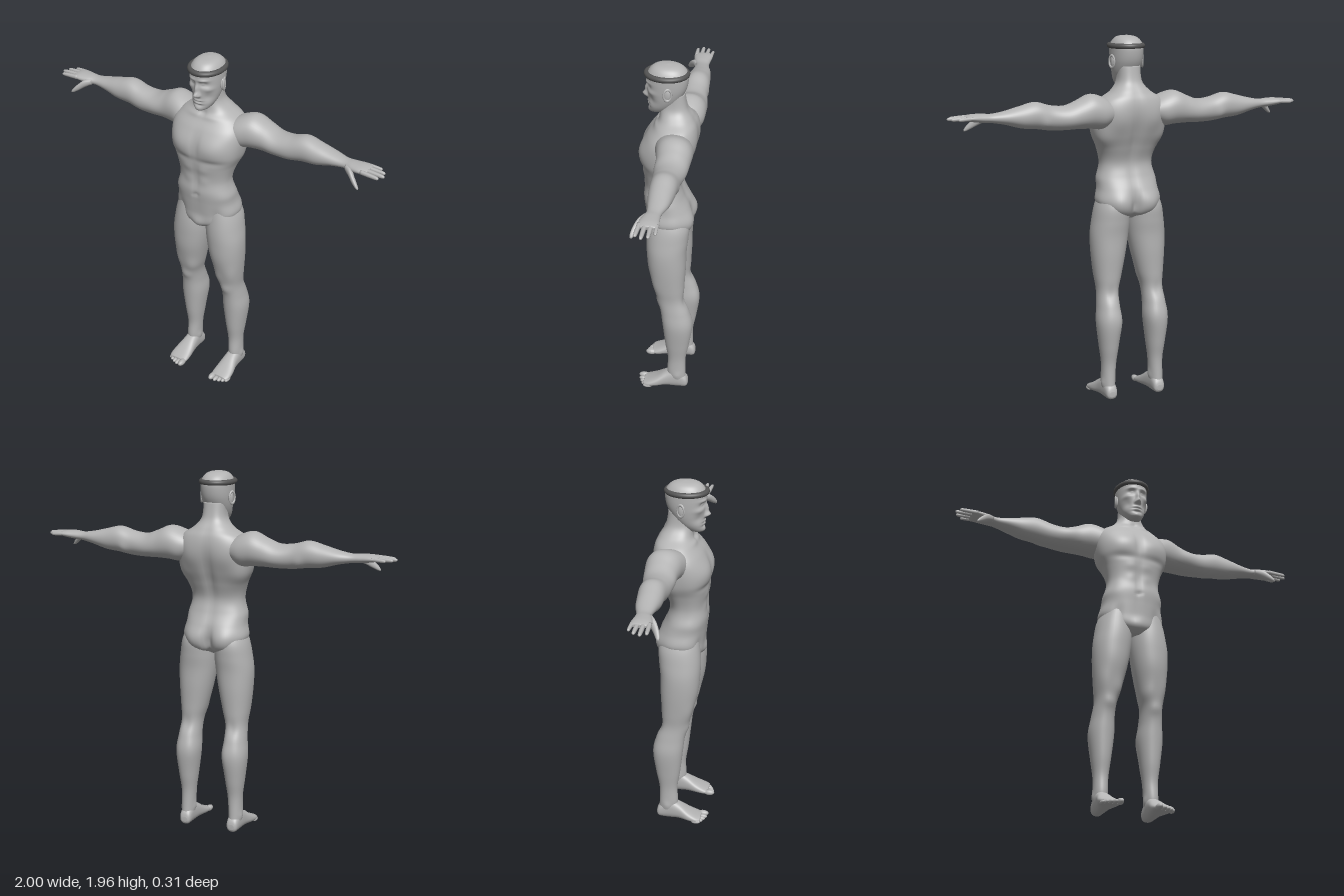
import * as THREE from 'three';

const skin = new THREE.MeshStandardMaterial({ color: 0xb4b4b4 });
skin.name = 'skinGrey';
const bandGrey = new THREE.MeshStandardMaterial({ color: 0x555555 });
bandGrey.name = 'bandGrey';

const spline = (a, b, c, d, t) =>
  0.5 * (2 * b + (c - a) * t + (2 * a - 5 * b + 4 * c - d) * t * t + (3 * b - a - 3 * c + d) * t * t * t);

// places section coordinates (a, b) at distance t along an axis
const place = {
  y: (a, b, t) => [a, t, b],
  x: (a, b, t) => [t, b, a],
  z: (a, b, t) => [b, a, t],
};

// smooth skin over sections [t, aMin, aMax, bMin, bMax], then soft muscle bumps
function loft(axis, sections, { n = 2.2, segs = 40, steps = 6, bumps = [] } = {}) {
  const pos = [], idx = [];
  const last = sections.length - 1;
  const rings = last * steps + 1;
  const at = (i) => sections[Math.min(Math.max(i, 0), last)];
  const power = (v) => Math.sign(v) * Math.abs(v) ** (2 / n);
  for (let r = 0; r < rings; r++) {
    const i = Math.min(Math.floor(r / steps), last - 1);
    const u = r / steps - i;
    const [t, a0, a1, b0, b1] = at(i).map((_, k) => spline(at(i - 1)[k], at(i)[k], at(i + 1)[k], at(i + 2)[k], u));
    for (let s = 0; s < segs; s++) {
      const th = (s / segs) * Math.PI * 2;
      pos.push(...place[axis](
        (a0 + a1) / 2 + ((a1 - a0) / 2) * power(Math.cos(th)),
        (b0 + b1) / 2 + ((b1 - b0) / 2) * power(Math.sin(th)), t));
    }
  }
  for (let r = 0; r < rings - 1; r++) {
    for (let s = 0; s < segs; s++) {
      const p = r * segs + s, q = r * segs + ((s + 1) % segs);
      idx.push(p, p + segs, q, q, p + segs, q + segs);
    }
  }
  // end caps
  for (const [e, ring] of [[sections[0], 0], [sections[last], (rings - 1) * segs]]) {
    const c = pos.length / 3;
    pos.push(...place[axis]((e[1] + e[2]) / 2, (e[3] + e[4]) / 2, e[0]));
    for (let s = 0; s < segs; s++) {
      const p = ring + s, q = ring + ((s + 1) % segs);
      idx.push(...(ring ? [c, q, p] : [c, p, q]));
    }
  }
  const g = new THREE.BufferGeometry();
  g.setAttribute('position', new THREE.Float32BufferAttribute(pos, 3));
  g.setIndex(idx);
  g.computeVertexNormals();
  const P = g.attributes.position, N = g.attributes.normal;
  for (let i = 0; i < P.count; i++) {
    let d = 0;
    for (const [x, y, z, rx, ry, rz, amount] of bumps) {
      d += amount * Math.exp(-(((Math.abs(P.getX(i)) - x) / rx) ** 2) - ((P.getY(i) - y) / ry) ** 2 - ((P.getZ(i) - z) / rz) ** 2);
    }
    P.setXYZ(i, P.getX(i) + d * N.getX(i), P.getY(i) + d * N.getY(i), P.getZ(i) + d * N.getZ(i));
  }
  g.computeVertexNormals();
  return g;
}

function mirrored(geometry) {
  const g = geometry.clone();
  g.scale(-1, 1, 1);
  const ix = g.index;
  for (let i = 0; i < ix.count; i += 3) {
    const b = ix.getX(i + 1);
    ix.setX(i + 1, ix.getX(i + 2));
    ix.setX(i + 2, b);
  }
  g.computeVertexNormals();
  return g;
}

const ellipsoid = (x, y, z, rx, ry, rz) => new THREE.SphereGeometry(1, 20, 14).scale(rx, ry, rz).translate(x, y, z);

export function createModel() {
  const model = new THREE.Group();
  model.name = 'athlete';
  const add = (name, geometry, material = skin) => {
    const mesh = new THREE.Mesh(geometry, material);
    mesh.name = name;
    model.add(mesh);
  };
  const pair = (name, geometry) => {
    add(name + 'Left', geometry);
    add(name + 'Right', mirrored(geometry));
  };

  // torso and neck: half width, back, front at each height
  const torso = [
    [0.985, 0.045, -0.05, 0.08], [1.02, 0.13, -0.11, 0.11], [1.08, 0.177, -0.128, 0.115],
    [1.15, 0.166, -0.115, 0.123], [1.22, 0.155, -0.085, 0.13], [1.29, 0.145, -0.07, 0.122],
    [1.37, 0.163, -0.095, 0.132], [1.44, 0.192, -0.122, 0.142], [1.52, 0.205, -0.145, 0.135],
    [1.58, 0.2, -0.152, 0.11], [1.63, 0.165, -0.145, 0.072], [1.67, 0.105, -0.125, 0.05],
    [1.72, 0.066, -0.095, 0.048], [1.8, 0.06, -0.08, 0.05],
  ].map(([y, h, b, f]) => [y, -h, h, b, f]);
  add('torso', loft('y', torso, {
    n: 2.4, segs: 72, steps: 8, bumps: [
      [0.09, 1.49, 0.13, 0.08, 0.055, 0.06, 0.014], // chest
      [0, 1.5, 0.135, 0.018, 0.07, 0.05, -0.009],
      [0.09, 1.415, 0.13, 0.09, 0.02, 0.05, -0.007],
      [0.045, 1.36, 0.13, 0.03, 0.025, 0.04, 0.004], // stomach
      [0.045, 1.29, 0.12, 0.03, 0.028, 0.04, 0.005],
      [0, 1.28, 0.125, 0.014, 0.12, 0.04, -0.005],
      [0, 1.2, 0.13, 0.012, 0.012, 0.03, -0.008],
      [0.15, 1.2, 0.03, 0.05, 0.03, 0.1, 0.006],
      [0.11, 1.08, 0.1, 0.03, 0.05, 0.04, -0.008],
      [0, 1.02, 0.1, 0.03, 0.035, 0.05, 0.012],
      [0, 1.4, -0.12, 0.025, 0.2, 0.07, -0.015], // back
      [0.1, 1.52, -0.14, 0.06, 0.07, 0.05, 0.008],
      [0.16, 1.43, -0.07, 0.05, 0.08, 0.07, 0.012],
      [0.085, 1.07, -0.12, 0.055, 0.065, 0.06, 0.02], // buttocks
      [0, 1.06, -0.12, 0.022, 0.065, 0.07, -0.03],
      [0.04, 1.64, 0.065, 0.05, 0.012, 0.04, 0.005], // collarbones
      [0, 1.655, 0.06, 0.015, 0.015, 0.04, -0.008],
    ],
  }));

  // head
  const head = [
    [1.688, 0.02, 0.035, 0.092], [1.7, 0.04, 0.01, 0.102], [1.73, 0.06, -0.025, 0.105],
    [1.77, 0.073, -0.06, 0.107], [1.82, 0.081, -0.087, 0.111], [1.87, 0.084, -0.098, 0.115],
    [1.905, 0.082, -0.096, 0.112], [1.935, 0.066, -0.075, 0.092], [1.951, 0.042, -0.043, 0.062],
    [1.957, 0.006, 0, 0.012],
  ].map(([y, h, b, f]) => [y, -h, h, b, f]);
  add('head', loft('y', head, {
    n: 2.15, segs: 112, steps: 10, bumps: [
      [0, 1.785, 0.11, 0.012, 0.014, 0.05, 0.026], // nose
      [0, 1.815, 0.11, 0.009, 0.026, 0.05, 0.016],
      [0.012, 1.778, 0.11, 0.007, 0.008, 0.04, 0.009],
      [0.035, 1.842, 0.105, 0.02, 0.013, 0.04, -0.014], // eyes and brows
      [0.034, 1.842, 0.1, 0.011, 0.006, 0.04, 0.008],
      [0.032, 1.865, 0.11, 0.026, 0.008, 0.04, 0.006],
      [0, 1.75, 0.11, 0.022, 0.006, 0.04, 0.007], // mouth and chin
      [0, 1.742, 0.11, 0.026, 0.003, 0.04, -0.006],
      [0, 1.734, 0.11, 0.018, 0.006, 0.04, 0.006],
      [0, 1.722, 0.105, 0.025, 0.006, 0.04, -0.006],
      [0, 1.702, 0.1, 0.02, 0.013, 0.04, 0.007],
      [0.05, 1.77, 0.08, 0.02, 0.025, 0.04, -0.007],
      [0.055, 1.815, 0.085, 0.02, 0.014, 0.04, 0.005],
    ],
  }));
  pair('ear', ellipsoid(0.083, 1.82, 0.0, 0.009, 0.033, 0.019).rotateZ(0));
  pair('earRim', new THREE.TorusGeometry(0.02, 0.005, 8, 24).scale(1, 1.55, 1)
    .rotateY(Math.PI / 2 + 0.35).translate(0.088, 1.822, -0.004));

  // headband
  const ring = Array.from({ length: 24 }, (_, i) => {
    const t = (i / 24) * Math.PI * 2;
    return new THREE.Vector3(0.083 * Math.cos(t), 1.903, 0.013 + 0.103 * Math.sin(t));
  });
  add('headband', new THREE.TubeGeometry(new THREE.CatmullRomCurve3(ring, true), 72, 0.0145, 12, true), bandGrey);

  // arms and palms: back, front, bottom, top along x
  pair('arm', loft('x', [
    [0.1, -0.12, 0.04, 1.52, 1.61], [0.17, -0.15, 0.045, 1.48, 1.648], [0.24, -0.155, 0.03, 1.485, 1.665],
    [0.31, -0.148, 0.015, 1.488, 1.637], [0.38, -0.138, 0.01, 1.486, 1.612], [0.46, -0.13, 0.01, 1.488, 1.618],
    [0.54, -0.13, 0.004, 1.5, 1.639], [0.62, -0.124, 0, 1.508, 1.622], [0.7, -0.113, -0.012, 1.53, 1.602],
    [0.77, -0.094, -0.02, 1.543, 1.59], [0.82, -0.094, -0.006, 1.546, 1.592], [0.87, -0.1, 0.002, 1.553, 1.592],
    [0.9, -0.099, -0.004, 1.56, 1.587], [0.91, -0.09, -0.015, 1.566, 1.582],
  ], { n: 2.1, bumps: [
    [0.36, 1.56, 0.01, 0.06, 0.04, 0.05, 0.008],
    [0.36, 1.54, -0.14, 0.07, 0.05, 0.04, 0.006],
    [0.5, 1.53, -0.12, 0.025, 0.03, 0.04, 0.006],
  ] }));

  // fingers: z position, tip x, radius
  [[-0.089, 0.955, 0.009], [-0.063, 0.985, 0.0105], [-0.035, 0.998, 0.011], [-0.008, 0.98, 0.0105]].forEach(([z, tip, r], i) => {
    const root = 0.88, spread = (z + 0.045) * 0.12;
    pair('finger' + (i + 1), loft('x', [[0, 1.1], [0.5, 1], [0.85, 0.85], [0.96, 0.6], [1, 0.1]].map(([u, k]) => [
      root + (tip - root) * u, z + spread * u - r * k, z + spread * u + r * k,
      1.574 - 0.004 * u - r * k, 1.574 - 0.004 * u + r * k]), { segs: 14, steps: 4 }));
  });
  pair('thumb', loft('x', [
    [0.79, -0.045, -0.01, 1.55, 1.58], [0.825, -0.025, 0.013, 1.532, 1.575], [0.855, 0, 0.03, 1.512, 1.55],
    [0.88, 0.017, 0.038, 1.498, 1.523], [0.892, 0.026, 0.036, 1.496, 1.505],
  ], { segs: 18, steps: 5 }));

  // legs: inner, outer, back, front at each height
  pair('leg', loft('y', [
    [0.03, 0.112, 0.172, -0.12, -0.03], [0.1, 0.106, 0.178, -0.115, -0.012], [0.2, 0.1, 0.178, -0.115, -0.015],
    [0.3, 0.087, 0.19, -0.133, 0], [0.43, 0.072, 0.204, -0.149, 0.015], [0.52, 0.076, 0.195, -0.13, 0.026],
    [0.6, 0.073, 0.188, -0.103, 0.044], [0.68, 0.052, 0.196, -0.102, 0.064], [0.8, 0.024, 0.207, -0.108, 0.094],
    [0.9, 0.007, 0.209, -0.11, 0.104], [0.98, 0.001, 0.199, -0.118, 0.106], [1.06, 0.005, 0.183, -0.12, 0.1],
    [1.14, 0.03, 0.15, -0.09, 0.09],
  ], { n: 2.15, bumps: [
    [0.13, 0.585, 0.04, 0.03, 0.03, 0.03, 0.007],
    [0.09, 0.67, 0.04, 0.03, 0.05, 0.04, 0.008],
    [0.17, 0.7, 0.05, 0.03, 0.06, 0.04, 0.006],
    [0.1, 0.45, -0.13, 0.03, 0.07, 0.04, 0.006],
    [0.135, 0.59, -0.1, 0.025, 0.04, 0.03, -0.007],
    [0.105, 0.1, -0.06, 0.02, 0.02, 0.02, 0.006],
    [0.178, 0.09, -0.07, 0.02, 0.02, 0.02, 0.006],
  ] }));

  // feet: bottom, top, inner, outer along z
  pair('foot', loft('z', [
    [-0.129, 0.022, 0.05, 0.125, 0.158], [-0.115, 0.006, 0.08, 0.11, 0.172], [-0.06, 0.002, 0.12, 0.106, 0.178],
    [-0.005, 0.005, 0.1, 0.1, 0.184], [0.05, 0.003, 0.065, 0.092, 0.198], [0.095, 0.002, 0.042, 0.09, 0.201],
    [0.12, 0.005, 0.032, 0.096, 0.19],
  ], { n: 2.4 }));
  [[0.106, 0.126, 0.017], [0.132, 0.126, 0.0125], [0.154, 0.118, 0.012], [0.174, 0.108, 0.0115], [0.191, 0.096, 0.011]]
    .forEach(([x, z, r], i) => pair('toe' + (i + 1), ellipsoid(x, r + 0.001, z, r, r, r + 0.014)));

  return model;
}
